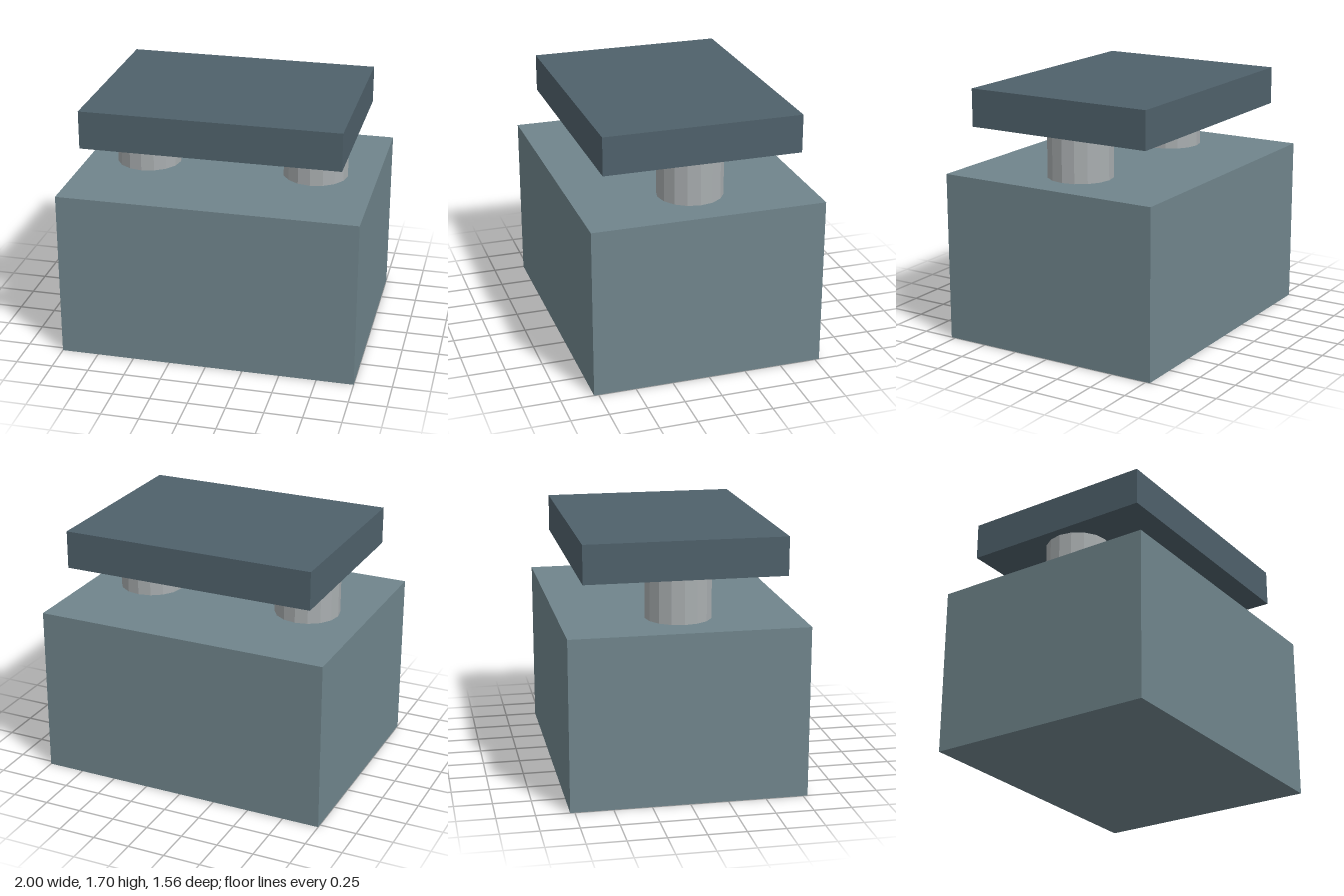
import * as THREE from 'three';

function material(name, color, flatShading = false) {
  const m = new THREE.MeshStandardMaterial({ color, flatShading });
  m.name = name;
  return m;
}

export function createModel() {
  const model = new THREE.Group();
  model.name = 'blockOnPillars';

  const baseColour = material('slate grey', 0x70858c);
  const slabColour = material('dark slate', 0x4f616b);
  const pillarColour = material('light grey', 0xa9aeb0, true);

  const add = (name, geometry, mat, x, y) => {
    const mesh = new THREE.Mesh(geometry, mat);
    mesh.name = name;
    mesh.position.set(x, y, 0);
    model.add(mesh);
  };

  const baseTop = 1.14, slabBottom = 1.445, slabTop = 1.7;

  // Large base block
  add('base', new THREE.BoxGeometry(2, baseTop, 1.56), baseColour, 0, baseTop / 2);

  // Two faceted pillars
  const pillarHeight = slabBottom - baseTop;
  for (const side of [-1, 1]) {
    add(side > 0 ? 'leftPillar' : 'rightPillar',
      new THREE.CylinderGeometry(0.22, 0.22, pillarHeight, 16),
      pillarColour, side * 0.58, baseTop + pillarHeight / 2);
  }

  // Top slab
  add('topSlab', new THREE.BoxGeometry(1.72, slabTop - slabBottom, 1.32),
    slabColour, 0, (slabTop + slabBottom) / 2);

  return model;
}
